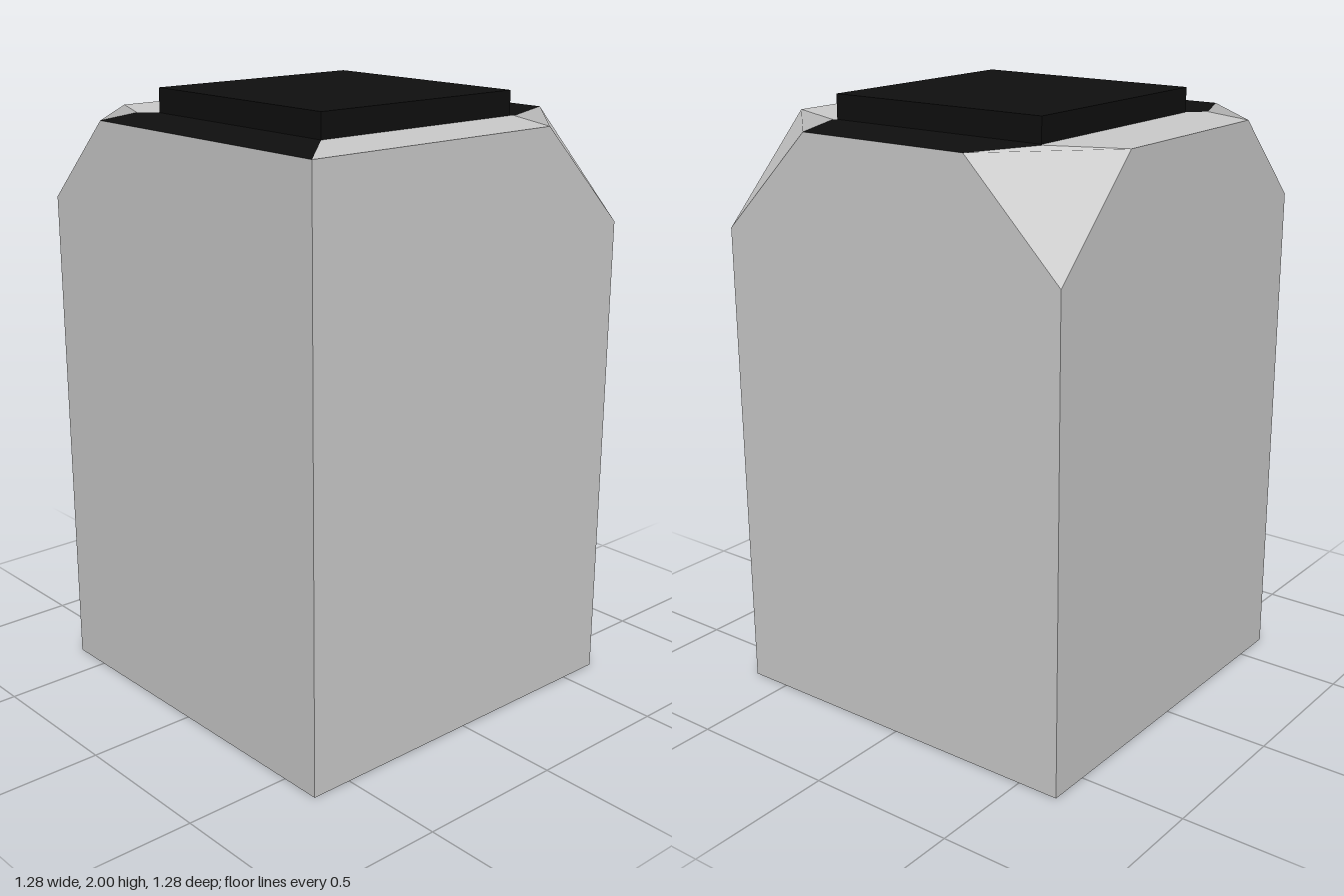
import * as THREE from 'three';

const HALF = 0.64, TOP = 1.92, CAP = 0.395;

const grey = new THREE.MeshStandardMaterial({ color: 0xcccccc });
const black = new THREE.MeshStandardMaterial({ color: 0x0f0f0f });

// One flat-shaded polygon, fanned from its first corner (anticlockwise from outside)
function polygon(name, points, material) {
  const pts = points.filter((p, i) => p.distanceTo(points[(i + 1) % points.length]) > 1e-4);
  const normal = new THREE.Vector3();
  const index = [];
  for (let i = 1; i < pts.length - 1; i++) {
    const a = pts[i].clone().sub(pts[0]);
    const b = pts[i + 1].clone().sub(pts[0]);
    normal.add(a.cross(b));
    index.push(0, i, i + 1);
  }
  normal.normalize();
  const geometry = new THREE.BufferGeometry().setFromPoints(pts);
  const normals = pts.flatMap(() => normal.toArray());
  geometry.setAttribute('normal', new THREE.Float32BufferAttribute(normals, 3));
  geometry.setIndex(index);
  const mesh = new THREE.Mesh(geometry, material);
  mesh.name = name;
  return mesh;
}

// A corner of the carton; cut is the size of its folded tip, inner the fold's end on the top
function makeCorner(sx, sz, cut, inner) {
  const at = (x, y, z) => new THREE.Vector3(sx * x, y, sz * z);
  const alongX = at(HALF - cut, TOP, HALF);
  const alongZ = at(HALF, TOP, HALF - cut);
  const incomingIsX = sx * sz > 0;
  return {
    cut,
    base: at(HALF, 0, HALF),
    tip: at(HALF, TOP - cut, HALF),
    before: incomingIsX ? alongX : alongZ,
    after: incomingIsX ? alongZ : alongX,
    fold: at(inner, TOP, inner),
    cap: at(CAP, TOP, CAP),
  };
}

export function createModel() {
  const group = new THREE.Group();
  group.name = 'carton';

  // Corners anticlockwise from above, starting at the front right; the first is left sharp
  const corners = [
    makeCorner(-1, 1, 0, CAP),
    makeCorner(1, 1, 0.335, 0.405),
    makeCorner(1, -1, 0.335, 0.405),
    makeCorner(-1, -1, 0.275, 0.447),
  ];

  // Walls, top panels and folded corner tips
  ['front', 'left', 'back', 'right'].forEach((side, i) => {
    const a = corners[i], b = corners[(i + 1) % 4];
    group.add(polygon(side + 'Wall', [a.base, b.base, b.tip, b.before, a.after, a.tip], grey));
    group.add(polygon(side + 'TopPanel',
      [a.after, b.before, b.fold, b.cap, a.cap, a.fold], i % 2 ? black : grey));
    if (a.cut) group.add(polygon('cornerFold', [a.before, a.tip, a.after, a.fold], grey));
  });

  // Underside
  group.add(polygon('bottom', corners.map((c) => c.base).reverse(), grey));

  // Raised square lid
  const lid = new THREE.Mesh(new THREE.BoxGeometry(2 * CAP, 2 - TOP, 2 * CAP), black);
  lid.name = 'lid';
  lid.position.y = (2 + TOP) / 2;
  group.add(lid);

  return group;
}
